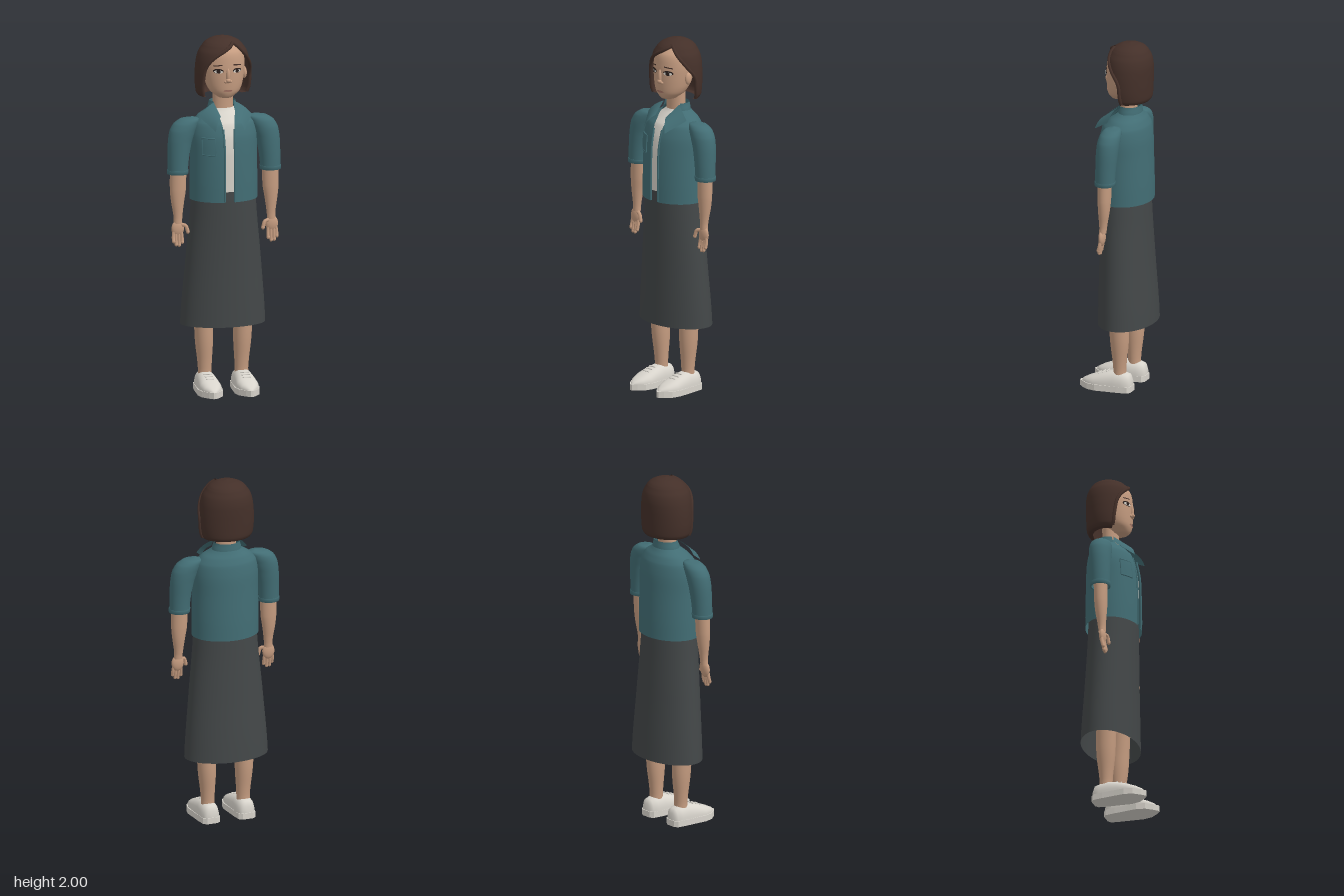
import * as THREE from 'three';
import { mergeVertices } from 'three/addons/utils/BufferGeometryUtils.js';

const mat = (name, color) => new THREE.MeshStandardMaterial({ name, color, side: THREE.DoubleSide });
const V = (x, y, z) => new THREE.Vector3(x, y, z);

// Smooth skin over a list of equally long rings of points
function skinRings(rings) {
  const n = rings[0].length, index = [];
  for (let i = 0; i < rings.length - 1; i++) for (let j = 0; j < n - 1; j++) {
    const a = i * n + j, b = a + 1, c = a + n, d = c + 1;
    index.push(a, b, d, a, d, c);
  }
  let geo = new THREE.BufferGeometry().setFromPoints(rings.flat());
  geo.setIndex(index);
  geo = mergeVertices(geo, 1e-5);
  geo.computeVertexNormals();
  return geo;
}

// Section: [y, centreX, centreZ, radiusX, radiusZ, gapFrom, gapTo]; blended smoothly by height
function between(secs, i, t) {
  const get = (k, c) => secs[Math.min(Math.max(k, 0), secs.length - 1)][c] ?? 0;
  return [0, 1, 2, 3, 4, 5, 6].map((c) => {
    const a = get(i - 1, c), b = get(i, c), d = get(i + 1, c), e = get(i + 2, c);
    if (c === 0) return b + (d - b) * t;
    return b + 0.5 * t * (d - a + t * (2 * a - 5 * b + 4 * d - e + t * (3 * (b - d) + e - a)));
  });
}
function sectionAt(secs, y) {
  let i = 0;
  while (i < secs.length - 2 && secs[i + 1][0] < y) i++;
  return between(secs, i, (y - secs[i][0]) / (secs[i + 1][0] - secs[i][0]));
}
const onRing = ([y, cx, cz, rx, rz], a) => V(cx + Math.max(rx, 0) * Math.sin(a), y, cz + Math.max(rz, 0) * Math.cos(a));

function loft(secs, { steps = 5, sides = 40 } = {}) {
  const rings = [];
  for (let i = 0; i < secs.length - 1; i++) {
    for (let k = i ? 1 : 0; k <= steps; k++) {
      const s = between(secs, i, k / steps), ring = [];
      for (let j = 0; j <= sides; j++) ring.push(onRing(s, s[6] + (Math.PI * 2 + s[5] - s[6]) * j / sides));
      rings.push(ring);
    }
  }
  return skinRings(rings);
}

// Lay a flat shape on the front of a lofted form
function patch(geo, secs, offset) {
  const p = geo.attributes.position;
  for (let i = 0; i < p.count; i++) {
    const s = sectionAt(secs, p.getY(i)), u = (p.getX(i) - s[1]) / s[3];
    p.setZ(i, s[2] + s[4] * Math.sqrt(Math.max(0, 1 - u * u)) + offset);
  }
  geo.computeVertexNormals();
  return geo;
}
const tube = (pts, r) => new THREE.TubeGeometry(new THREE.CatmullRomCurve3(pts), 32, r, 8);
const ball = (r, sx, sy, sz) => new THREE.SphereGeometry(r, 20, 14).scale(sx, sy, sz);

export function createModel() {
  const model = new THREE.Group();
  const skin = mat('skin', 0xc59c80), hair = mat('hair', 0x443029), teal = mat('jacket teal', 0x426d74);
  const grey = mat('skirt grey', 0x434748), cream = mat('shirt cream', 0xd9d5cc), white = mat('shoe white', 0xd8d4cc);
  const dark = mat('eye dark', 0x2b201d), lip = mat('lip', 0xa87868);
  const add = (name, geo, m, parent = model) => {
    const mesh = new THREE.Mesh(geo, m);
    mesh.name = name;
    parent.add(mesh);
    return mesh;
  };

  // Skirt and shirt
  add('skirt', loft([[0.38, 0, -0.045, 0.24, 0.155], [0.75, 0, -0.036, 0.212, 0.142],
    [1.09, 0, -0.028, 0.182, 0.134], [1.145, 0, -0.028, 0.176, 0.132]], { sides: 56 }), grey);
  add('shirt', loft([[1.12, 0, -0.028, 0.175, 0.129], [1.35, 0, -0.028, 0.172, 0.134], [1.45, 0, -0.031, 0.17, 0.128],
    [1.52, 0, -0.037, 0.15, 0.11], [1.56, 0, -0.045, 0.11, 0.082], [1.6, 0, -0.05, 0.062, 0.054]]), cream);

  // Open jacket
  const jacket = [[1.09, 0, -0.028, 0.19, 0.152, -0.15, 0.15], [1.2, 0, -0.028, 0.19, 0.152, -0.15, 0.15],
    [1.35, 0, -0.028, 0.187, 0.148, -0.15, 0.15], [1.45, 0, -0.031, 0.186, 0.142, -0.16, 0.16],
    [1.52, 0, -0.037, 0.172, 0.126, -0.2, 0.2], [1.56, 0, -0.045, 0.138, 0.1, -0.32, 0.32],
    [1.59, 0, -0.05, 0.09, 0.075, -0.65, 0.65], [1.61, 0, -0.053, 0.074, 0.062, -0.85, 0.85],
    [1.635, 0, -0.055, 0.07, 0.058, -0.95, 0.95]];
  add('jacketBody', loft(jacket, { sides: 60 }), teal);
  add('collarBand', loft([[1.595, 0, -0.053, 0.084, 0.068, -0.8, 0.8], [1.635, 0, -0.055, 0.074, 0.062, -0.95, 0.95]]), teal);
  const pocketShape = new THREE.PlaneGeometry(0.066, 0.094, 8, 6).translate(-0.112, 1.403, 0);
  add('pocket', patch(pocketShape, jacket, 0.005), teal);
  const trim = [[-0.145, 1.45], [-0.079, 1.45], [-0.079, 1.356], [-0.145, 1.356]];
  trim.forEach(([x, y], i) => {
    const [x2, y2] = trim[(i + 1) % 4], pts = [];
    for (let k = 0; k <= 4; k++) {
      const px = x + (x2 - x) * k / 4, py = y + (y2 - y) * k / 4, s = sectionAt(jacket, py);
      pts.push(V(px, py, s[2] + s[4] * Math.sqrt(1 - (px / s[3]) ** 2) + 0.002));
    }
    add('pocketEdge', tube(pts, 0.004), teal);
  });

  for (const s of [1, -1]) {
    const side = s > 0 ? 'left' : 'right';
    const mirrored = (secs) => secs.map(([y, x, ...rest]) => [y, x * s, ...rest]);

    // Front edge and pointed collar leaf
    const edge = [1.093, 1.2, 1.3, 1.4, 1.5].map((y) => {
      const sec = sectionAt(jacket, y);
      return onRing(sec, s * sec[6]);
    });
    add(side + 'JacketEdge', tube(edge, 0.006), teal);
    const A = V(0.06, 1.632, -0.01), B = V(0.15, 1.562, 0.02), C = V(0.082, 1.495, 0.125), D = V(0.04, 1.568, 0.075);
    const leaf = [];
    for (let i = 0; i <= 8; i++) {
      const row = [];
      for (let j = 0; j <= 8; j++) {
        const u = i / 8, v = j / 8;
        const p = A.clone().lerp(D, v).lerp(B.clone().lerp(C, v), u);
        p.addScaledVector(V(0.3, 0.6, 0.5), 0.05 * u * (1 - u));
        p.x *= s;
        row.push(p);
      }
      leaf.push(s > 0 ? row.reverse() : row);
    }
    add(side + 'Collar', skinRings(leaf), teal);

    // Sleeve and arm
    add(side + 'Sleeve', loft(mirrored([[1.24, 0.264, -0.014, 0.056, 0.054], [1.33, 0.26, -0.016, 0.06, 0.057],
      [1.42, 0.25, -0.02, 0.067, 0.061], [1.48, 0.234, -0.023, 0.073, 0.062], [1.52, 0.214, -0.026, 0.07, 0.057],
      [1.545, 0.192, -0.028, 0.053, 0.042], [1.557, 0.175, -0.03, 0, 0]])), teal);
    add(side + 'Cuff', loft(mirrored([[1.24, 0.264, -0.014, 0.05, 0.048], [1.2401, 0.264, -0.014, 0.059, 0.057],
      [1.262, 0.263, -0.014, 0.06, 0.058], [1.2621, 0.263, -0.014, 0.055, 0.053]], ), { steps: 1 }) , teal);
    add(side + 'Arm', loft(mirrored([[0.96, 0.266, -0.002, 0.024, 0.02], [1.0, 0.265, -0.004, 0.025, 0.022],
      [1.08, 0.266, -0.008, 0.036, 0.031], [1.15, 0.264, -0.01, 0.045, 0.036], [1.28, 0.262, -0.012, 0.046, 0.038]])), skin);

    // Hand
    const hand = new THREE.Group();
    hand.name = side + 'Hand';
    model.add(hand);
    add('palm', ball(1, 0.036, 0.046, 0.017), skin, hand).position.set(0.268 * s, 0.932, 0.002);
    [[0.245, 0.857], [0.262, 0.842], [0.279, 0.845], [0.294, 0.863]].forEach(([x, y]) =>
      add('finger', tube([V(0.27 * s + (x - 0.27) * 0.8 * s, 0.925, 0.003), V(x * s, 0.885, 0.008), V(x * s, y, 0.014)], 0.0095), skin, hand)
        && add('fingertip', ball(0.0095, 1, 1.2, 1), skin, hand).position.set(x * s, y, 0.014));
    add('thumb', tube([V(0.25 * s, 0.955, 0.004), V(0.226 * s, 0.948, 0.014), V(0.214 * s, 0.915, 0.018)], 0.0105), skin, hand);
    add('thumbTip', ball(0.0105, 1, 1.2, 1), skin, hand).position.set(0.214 * s, 0.915, 0.018);

    // Leg
    add(side + 'Leg', loft(mirrored([[0.08, 0.105, -0.035, 0.038, 0.036], [0.14, 0.105, -0.035, 0.039, 0.037],
      [0.28, 0.109, -0.035, 0.05, 0.052], [0.4, 0.112, -0.033, 0.053, 0.056], [0.6, 0.112, -0.03, 0.06, 0.06]])), skin);

    // Shoe: arched upper on a pointed sole
    const shoe = new THREE.Group();
    shoe.name = side + 'Shoe';
    shoe.position.x = 0.105 * s;
    model.add(shoe);
    const arches = [[-0.106, 0.001, 0.001], [-0.105, 0.03, 0.045], [-0.092, 0.046, 0.072], [-0.06, 0.055, 0.08],
      [-0.01, 0.058, 0.085], [0.05, 0.062, 0.072], [0.1, 0.064, 0.055], [0.145, 0.05, 0.037], [0.178, 0.024, 0.02], [0.193, 0.002, 0.002]];
    add('upper', skinRings(arches.map(([z, w, h]) => Array.from({ length: 21 }, (_, j) => {
      const a = Math.PI * j / 20, c = Math.cos(a);
      return V(w * Math.sign(c) * Math.abs(c) ** 0.8, 0.028 + h * Math.sin(a) ** 0.8, z);
    }))), white, shoe);
    const half = [[0.03, -0.11], [0.05, -0.095], [0.058, -0.04], [0.064, 0.03], [0.07, 0.09], [0.059, 0.14], [0.03, 0.178], [0.007, 0.2]];
    const outline = [...half, ...half.slice().reverse().map(([x, z]) => [-x, z])];
    const sole = new THREE.Shape(outline.map(([x, z]) => new THREE.Vector2(x, z)));
    add('sole', new THREE.ExtrudeGeometry(sole, { depth: 0.034, bevelEnabled: false }).rotateX(Math.PI / 2).translate(0, 0.034, 0), white, shoe);
    [[0.035, 0.105], [0.06, 0.097], [0.085, 0.088]].forEach(([z, y]) =>
      add('lace', new THREE.CapsuleGeometry(0.004, 0.04, 4, 8).rotateZ(Math.PI / 2).translate(0, y, z), white, shoe));
  }

  // Neck and head
  add('neck', loft([[1.53, 0, -0.045, 0.064, 0.05], [1.6, 0, -0.045, 0.058, 0.045], [1.72, 0, -0.045, 0.058, 0.046]]), skin);
  const head = [[1.662, 0, 0.01, 0, 0], [1.668, 0, 0.01, 0.04, 0.045], [1.7, 0, -0.002, 0.082, 0.074], [1.74, 0, -0.015, 0.102, 0.092],
    [1.8, 0, -0.028, 0.115, 0.107], [1.86, 0, -0.034, 0.119, 0.111], [1.92, 0, -0.04, 0.108, 0.106], [1.96, 0, -0.045, 0.07, 0.07], [1.975, 0, -0.045, 0, 0]];
  add('head', loft(head), skin);
  for (const s of [1, -1]) {
    const disc = (rx, ry, x, y) => new THREE.CircleGeometry(1, 24).scale(rx, ry, 1).translate(x * s, y, 0);
    add('eyeLine', patch(disc(0.027, 0.0135, 0.053, 1.825), head, 0.003), dark);
    add('eyeWhite', patch(disc(0.023, 0.009, 0.053, 1.822), head, 0.005), cream);
    add('iris', patch(disc(0.0105, 0.0105, 0.053, 1.823), head, 0.0065), dark);
    const brow = new THREE.PlaneGeometry(0.048, 0.006, 8, 1).rotateZ(-0.12 * s).translate(0.055 * s, 1.856, 0);
    add('eyebrow', patch(brow, head, 0.004), hair);
    add('ear', ball(1, 0.014, 0.034, 0.022), skin).position.set(0.118 * s, 1.79, -0.025);
    add('nostrilWing', ball(0.011, 1, 0.8, 0.9), skin).position.set(0.013 * s, 1.765, 0.076);
  }
  add('noseBridge', ball(1, 0.012, 0.042, 0.014), skin).position.set(0, 1.797, 0.077);
  add('noseTip', ball(0.0145, 1, 0.9, 1), skin).position.set(0, 1.772, 0.081);
  add('mouth', patch(new THREE.CircleGeometry(1, 24).scale(0.026, 0.0065, 1).translate(0, 1.712, 0), head, 0.004), lip);

  // Side-parted bob, with its rolled front edges
  const bob = [[1.668, 0, -0.05, 0.112, 0.09, -1.05, 1.65], [1.67, 0, -0.05, 0.137, 0.114, -1.05, 1.65],
    [1.69, 0, -0.05, 0.149, 0.124, -1.02, 1.62], [1.74, 0, -0.05, 0.155, 0.127, -0.98, 1.58], [1.8, 0, -0.05, 0.155, 0.129, -0.92, 1.52],
    [1.84, 0, -0.05, 0.152, 0.13, -0.85, 1.28], [1.88, 0, -0.05, 0.146, 0.129, -0.66, 1.05], [1.92, 0, -0.05, 0.133, 0.121, -0.32, 0.82],
    [1.955, 0, -0.052, 0.109, 0.102, 0.18, 0.62], [1.972, 0, -0.054, 0.09, 0.084, 0.45, 0.46], [1.99, 0, -0.056, 0.052, 0.05, 0.45, 0.45],
    [2.0, 0, -0.057, 0, 0, 0.45, 0.45]];
  add('hair', loft(bob, { sides: 56 }), hair);
  for (const gap of [5, 6]) {
    const pts = [1.676, 1.7, 1.74, 1.78, 1.82, 1.85, 1.88, 1.91, 1.935, 1.955, 1.972].map((y) => {
      const sec = sectionAt(bob, y);
      return onRing(sec, sec[gap]);
    });
    add('hairEdge', tube(pts, 0.01), hair);
  }
  return model;
}
